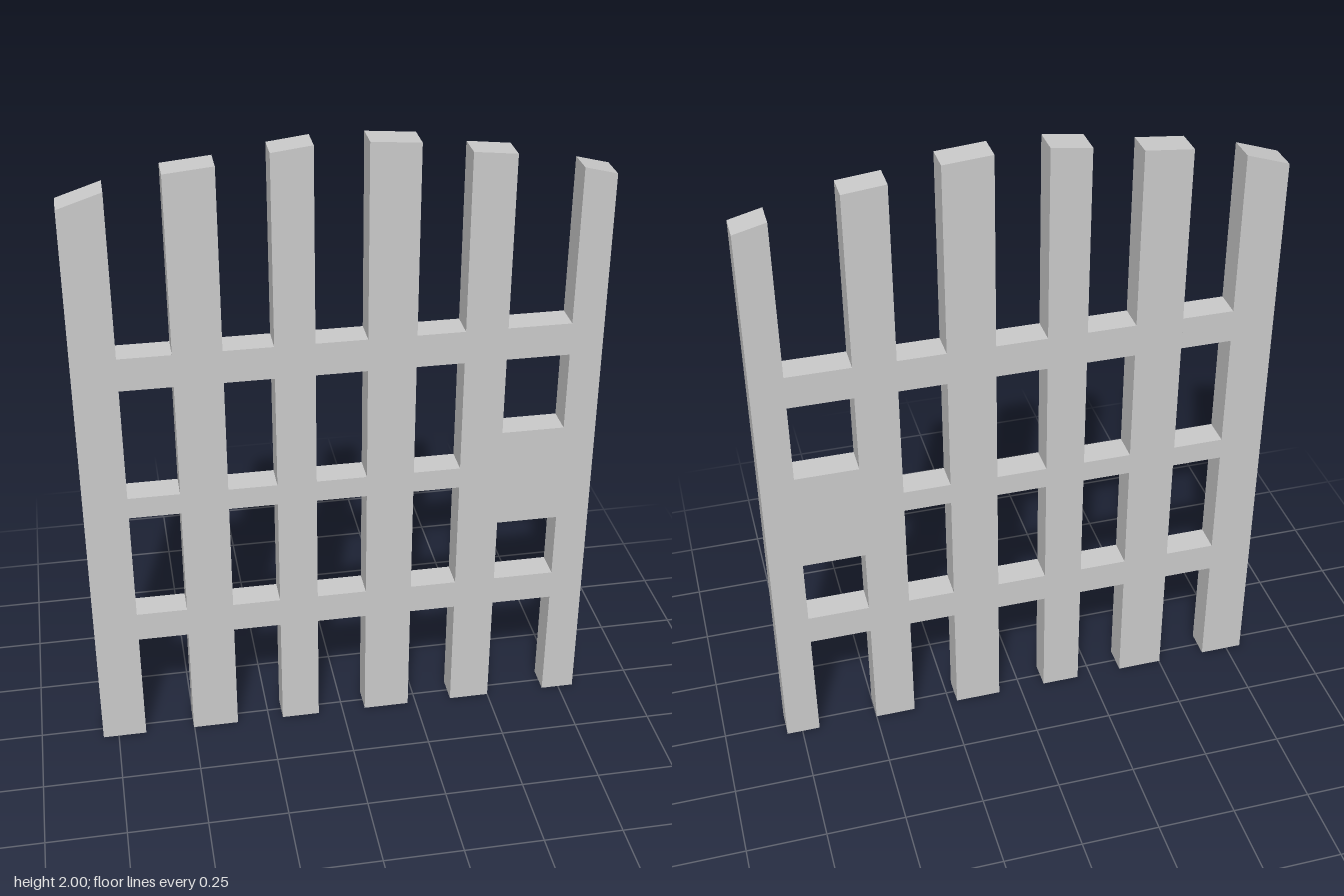
import * as THREE from 'three';

const DEPTH = 0.09;

// Upright slats: left and right x at the foot, then at the top, and the two top heights
const SLATS = [
  { foot: [-0.80, -0.66], head: [-0.795, -0.663], top: [1.86, 1.903] },
  { foot: [-0.502, -0.355], head: [-0.502, -0.355], top: [1.943, 1.957] },
  { foot: [-0.204, -0.082], head: [-0.204, -0.082], top: [1.985, 2.0] },
  { foot: [0.075, 0.223], head: [0.075, 0.223], top: [2.0, 1.988] },
  { foot: [0.37, 0.5], head: [0.37, 0.5], top: [1.952, 1.938] },
  { foot: [0.693, 0.80], head: [0.698, 0.797], top: [1.885, 1.86] },
];

// Cross rails: bottom and top y
const RAILS = [
  { name: 'lowerRail', y: [0.385, 0.483] },
  { name: 'middleRail', y: [0.847, 0.917] },
  { name: 'upperRail', y: [1.287, 1.392] },
];
const LATCH_Y = [0.70, 1.032];

export function createModel() {
  const gate = new THREE.Group();
  gate.name = 'gate';
  const material = new THREE.MeshStandardMaterial({ color: 0xcccccc, flatShading: true });

  // A flat panel with straight sides, centred on z = 0
  function addPanel(parent, name, corners) {
    const shape = new THREE.Shape(corners.map(([x, y]) => new THREE.Vector2(x, y)));
    const geometry = new THREE.ExtrudeGeometry(shape, { depth: DEPTH, bevelEnabled: false });
    geometry.translate(0, 0, -DEPTH / 2);
    const mesh = new THREE.Mesh(geometry, material);
    mesh.name = name;
    parent.add(mesh);
  }

  // Slats with sloping tops that follow a shallow arch
  SLATS.forEach(({ foot, head, top }, i) => {
    addPanel(gate, `slat${i + 1}`, [
      [foot[0], 0], [foot[1], 0], [head[1], top[1]], [head[0], top[0]],
    ]);
  });

  // Rail pieces fill the gaps between neighbouring slats, flush front and back
  const edgeAt = (slat, side, y) =>
    THREE.MathUtils.lerp(slat.foot[side], slat.head[side], y / slat.top[side]);
  const lastGap = SLATS.length - 2;

  for (const { name, y } of RAILS) {
    const rail = new THREE.Group();
    rail.name = name;
    gate.add(rail);
    for (let i = 0; i <= lastGap; i++) {
      // The middle rail widens into a latch plate in the last gap
      const isLatch = name === 'middleRail' && i === lastGap;
      const [low, high] = isLatch ? LATCH_Y : y;
      const a = SLATS[i], b = SLATS[i + 1];
      addPanel(rail, isLatch ? 'latchPlate' : `${name}Piece${i + 1}`, [
        [edgeAt(a, 1, low), low], [edgeAt(b, 0, low), low],
        [edgeAt(b, 0, high), high], [edgeAt(a, 1, high), high],
      ]);
    }
  }

  return gate;
}
